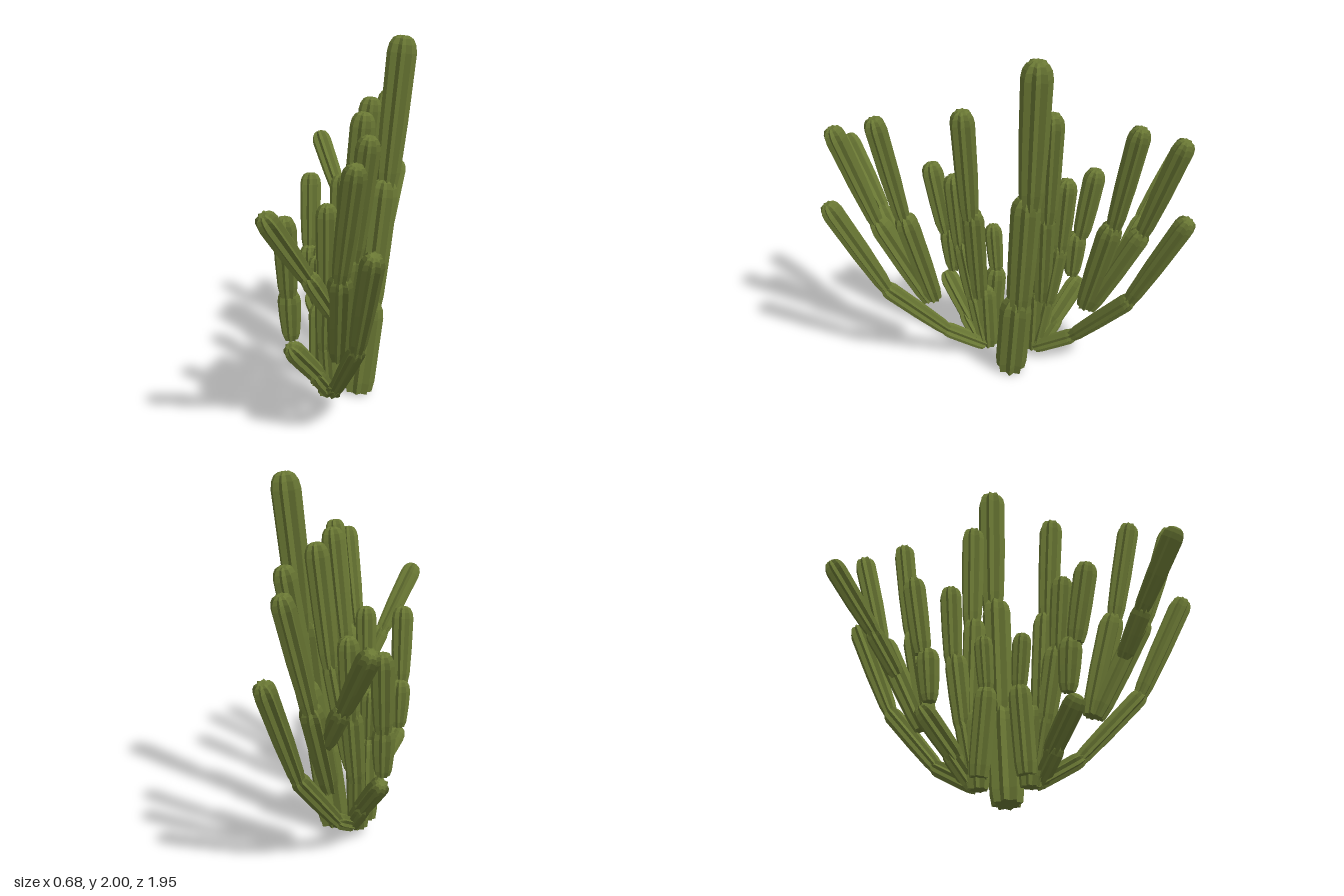
import * as THREE from 'three';

const RIBS = 8;
const GROOVE = 0.72; // groove depth as a share of the rib radius

// One ribbed cactus joint: star-shaped rings lofted from a to b, with a domed tip
function jointGeometry(a, b, radius, foot) {
  const from = new THREE.Vector3(...a), axis = new THREE.Vector3(...b).sub(from);
  const length = axis.length();
  const dome = Math.min(radius * 1.1, length * 0.3);
  const rings = [ // [height, radius factor]
    [0, foot * 0.9],
    [length * 0.12, foot + (1 - foot) * 0.35],
    [length * 0.45, foot + (1 - foot) * 0.8],
    [length - dome, 1],
    [length - dome * 0.5, 0.9],
    [length - dome * 0.15, 0.68],
    [length, 0.38],
  ];
  const n = RIBS * 2, pos = [], index = [];
  for (const [h, f] of rings) {
    for (let i = 0; i < n; i++) {
      const t = (i / n) * Math.PI * 2;
      const r = radius * f * (i % 2 ? GROOVE : 1);
      pos.push(Math.sin(t) * r, h, Math.cos(t) * r);
    }
  }
  for (let k = 0; k < rings.length - 1; k++) {
    for (let i = 0; i < n; i++) {
      const p = k * n + i, q = k * n + (i + 1) % n;
      index.push(p, q, p + n, q, q + n, p + n);
    }
  }
  // End caps
  const bottom = pos.length / 3, top = bottom + 1, last = (rings.length - 1) * n;
  pos.push(0, 0, 0, 0, length - dome * 0.04, 0);
  for (let i = 0; i < n; i++) {
    const j = (i + 1) % n;
    index.push(bottom, j, i, top, last + i, last + j);
  }
  const indexed = new THREE.BufferGeometry();
  indexed.setAttribute('position', new THREE.Float32BufferAttribute(pos, 3));
  indexed.setIndex(index);
  const geo = indexed.toNonIndexed();
  const turn = new THREE.Quaternion().setFromUnitVectors(
    new THREE.Vector3(0, 1, 0), axis.normalize());
  geo.applyQuaternion(turn);
  geo.translate(from.x, from.y, from.z);
  geo.computeVertexNormals();
  return geo;
}

// Joints of the tall central stem: start, tip, radius, foot factor
const STEM = [
  [[0.045, 0.01, -0.015], [0.11, 0.55, -0.055], 0.09, 1],
  [[0.105, 0.48, -0.065], [0.185, 1.23, -0.11], 0.08, 0.85],
  [[0.19, 1.17, -0.13], [0.272, 2.0, -0.16], 0.08, 0.75],
];

// Branches of one half, repeated on the other side of z = 0
const BRANCHES = {
  shortBranch: [
    [[-0.155, 0.1, 0.12], [-0.155, 0.57, 0.085], 0.06, 0.9],
    [[-0.155, 0.55, 0.085], [-0.165, 0.85, 0.105], 0.05, 0.75],
  ],
  innerTallBranch: [
    [[-0.11, 0.05, 0.13], [-0.1, 0.47, 0.145], 0.06, 0.95],
    [[-0.08, 0.42, 0.18], [0.025, 1.04, 0.195], 0.062, 0.75],
    [[0.03, 1.0, 0.21], [0.1, 1.66, 0.23], 0.065, 0.75],
  ],
  innerBranch: [
    [[-0.1, 0.06, 0.15], [-0.11, 0.42, 0.215], 0.05, 0.9],
    [[-0.11, 0.36, 0.21], [-0.09, 0.79, 0.27], 0.062, 0.75],
    [[-0.09, 0.74, 0.28], [-0.08, 1.2, 0.31], 0.06, 0.75],
  ],
  outwardBranch: [
    [[-0.08, 0.08, 0.17], [-0.16, 0.25, 0.28], 0.05, 0.9],
    [[-0.14, 0.21, 0.24], [-0.275, 0.45, 0.4], 0.058, 0.85],
    [[-0.27, 0.47, 0.35], [-0.275, 0.755, 0.37], 0.062, 0.65],
    [[-0.275, 0.73, 0.395], [-0.275, 1.17, 0.465], 0.062, 0.75],
  ],
  lowBranch: [
    [[-0.08, 0.07, 0.15], [-0.03, 0.21, 0.39], 0.045, 0.9],
    [[-0.035, 0.19, 0.36], [0.115, 0.58, 0.69], 0.05, 0.75],
    [[0.105, 0.55, 0.67], [0.21, 1.15, 0.94], 0.06, 0.65],
  ],
  middleBranch: [
    [[-0.01, 0.43, 0.43], [0.085, 1.03, 0.56], 0.068, 0.7],
    [[0.08, 0.99, 0.565], [0.165, 1.63, 0.67], 0.06, 0.7],
  ],
  outerBranch: [
    [[-0.01, 0.42, 0.46], [0.035, 0.97, 0.725], 0.065, 0.7],
    [[0.03, 0.92, 0.715], [0.125, 1.55, 0.9], 0.06, 0.65],
  ],
  sideBranch: [
    [[-0.02, 0.73, 0.61], [-0.125, 0.97, 0.735], 0.052, 0.8],
    [[-0.115, 0.93, 0.71], [-0.29, 1.32, 0.935], 0.058, 0.65],
  ],
};

export function createModel() {
  const model = new THREE.Group();
  model.name = 'cactus';
  const green = new THREE.MeshStandardMaterial({ color: 0x6a7834 });
  green.name = 'olive green';
  green.flatShading = true;

  // Adds a named chain of joints; side = -1 mirrors it in z
  const addChain = (name, joints, side) => {
    const chain = new THREE.Group();
    chain.name = name;
    joints.forEach(([a, b, radius, foot], i) => {
      const flip = ([x, y, z]) => [x, y, z * side];
      const joint = new THREE.Mesh(jointGeometry(flip(a), flip(b), radius, foot), green);
      joint.name = `${name}Joint${i + 1}`;
      chain.add(joint);
    });
    model.add(chain);
  };

  addChain('centralStem', STEM, 1);
  for (const [name, joints] of Object.entries(BRANCHES)) {
    addChain(`${name}Front`, joints, 1);
    addChain(`${name}Back`, joints, -1);
  }
  return model;
}
